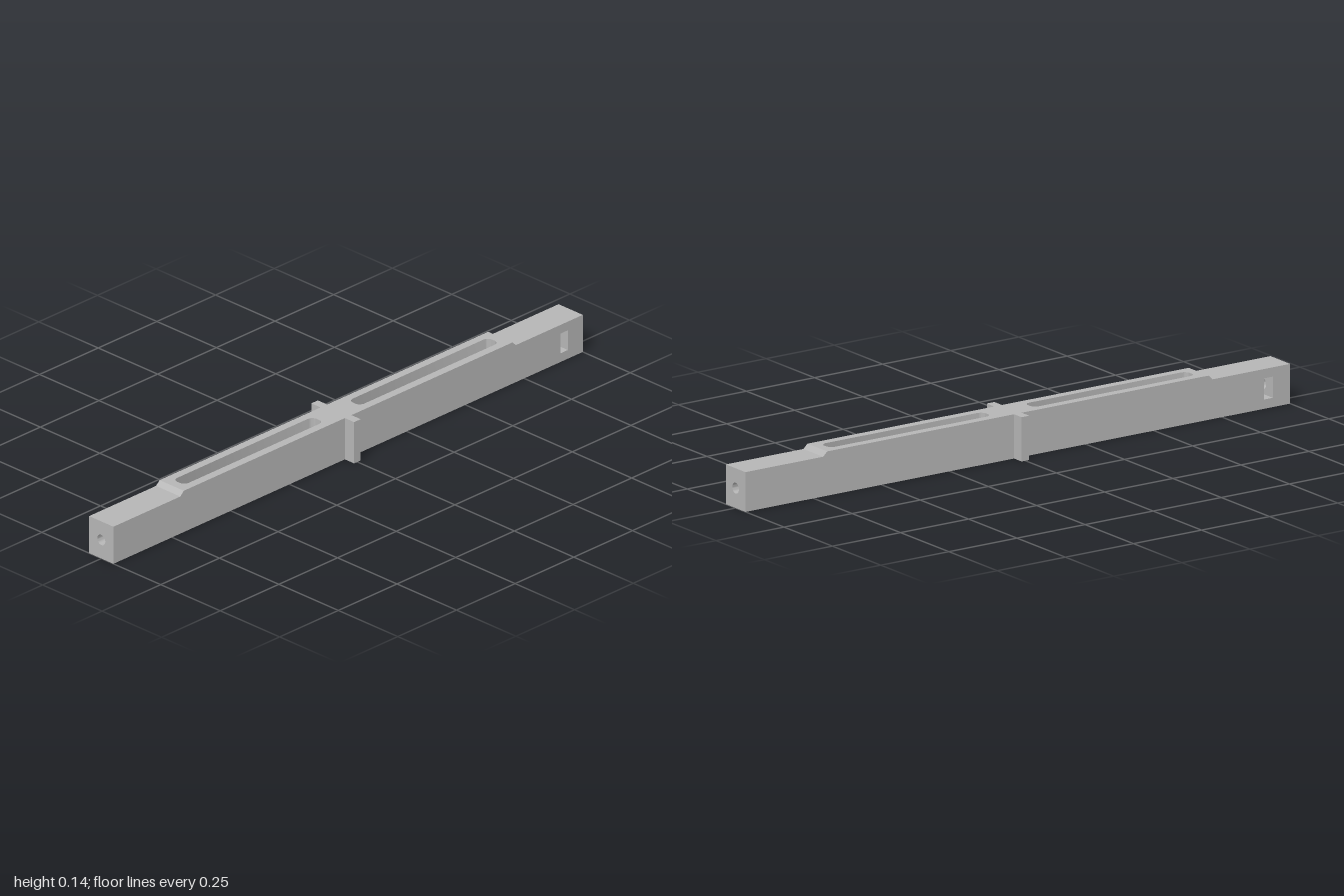
import * as THREE from 'three';
import { toCreasedNormals } from 'three/addons/utils/BufferGeometryUtils.js';

const W = 0.051;      // half width of the bar
const H = 0.138;      // height of the middle
const END_H = 0.124;  // height of the lowered ends
const RAMP = [0.70, 0.715];
const HOLE_Y = END_H / 2;

const steel = new THREE.MeshStandardMaterial({ color: 0xb6b6b6 });
steel.name = 'plain grey';

function polygon(points) {
  return new THREE.Shape(points.map(([x, y]) => new THREE.Vector2(x, y)));
}

function extrude(shape, depth) {
  const geometry = new THREE.ExtrudeGeometry(shape, { depth, bevelEnabled: false, curveSegments: 12 });
  return toCreasedNormals(geometry, 0.6);
}

function addMesh(parent, name, geometry) {
  const mesh = new THREE.Mesh(geometry, steel);
  mesh.name = name;
  parent.add(mesh);
  return mesh;
}

// Long rounded window cut through the bar from top to bottom
function windowPath(z0, z1) {
  const w = 0.024, r = 0.02;
  const p = new THREE.Path();
  p.moveTo(-w + r, z0);
  p.lineTo(w - r, z0);
  p.absarc(w - r, z0 + r, r, -Math.PI / 2, 0);
  p.absarc(w - r, z1 - r, r, 0, Math.PI / 2);
  p.absarc(-w + r, z1 - r, r, Math.PI / 2, Math.PI);
  p.absarc(-w + r, z0 + r, r, Math.PI, Math.PI * 1.5);
  return p;
}

function endSection() {
  return polygon([[-W, 0], [W, 0], [W, END_H], [-W, END_H]]);
}

function boredSection() {
  const shape = endSection();
  shape.holes.push(new THREE.Path().absarc(0, HOLE_Y, 0.017, 0, Math.PI * 2, true));
  return shape;
}

// Section with a hexagonal nut pocket open to -x
function pocketSection() {
  const f = 0.033, c = f / Math.cos(Math.PI / 6);
  return polygon([
    [-W, 0], [W, 0], [W, END_H], [-W, END_H],
    [-W, HOLE_Y + f], [c / 2, HOLE_Y + f], [c, HOLE_Y], [c / 2, HOLE_Y - f], [-W, HOLE_Y - f],
  ]);
}

// Front end: ramp, solid part, bolt hole and nut pocket, stacked along z
function makeEnd(name) {
  const end = new THREE.Group();
  end.name = name;

  const ramp = extrude(polygon([[RAMP[0], 0], [RAMP[1], 0], [RAMP[1], END_H], [RAMP[0], H]]), 2 * W);
  ramp.rotateY(-Math.PI / 2);
  ramp.translate(W, 0, 0);
  addMesh(end, 'ramp', ramp);

  const slices = [
    ['solidPart', endSection(), RAMP[1], 0.85],
    ['boltHoleInner', boredSection(), 0.85, 0.904],
    ['nutPocket', pocketSection(), 0.904, 0.936],
    ['boltHoleOuter', boredSection(), 0.936, 1],
  ];
  for (const [part, shape, z0, z1] of slices) {
    addMesh(end, part, extrude(shape, z1 - z0)).position.z = z0;
  }
  return end;
}

export function createModel() {
  const model = new THREE.Group();
  model.name = 'slottedBar';

  // Middle with two windows
  const plan = polygon([[-W, -RAMP[0]], [W, -RAMP[0]], [W, RAMP[0]], [-W, RAMP[0]]]);
  plan.holes.push(windowPath(0.077, 0.671), windowPath(-0.671, -0.077));
  const middle = extrude(plan, H);
  middle.rotateX(Math.PI / 2);
  middle.translate(0, H, 0);
  addMesh(model, 'middleBar', middle);

  // Side fins
  for (const side of [-1, 1]) {
    const fin = addMesh(model, side > 0 ? 'leftFin' : 'rightFin', new THREE.BoxGeometry(0.09 - W, H, 0.028));
    fin.position.set(side * (0.09 + W) / 2, H / 2, 0);
  }

  // The back end is the front end turned half round
  const back = makeEnd('backEnd');
  back.rotation.y = Math.PI;
  model.add(makeEnd('frontEnd'), back);
  return model;
}
